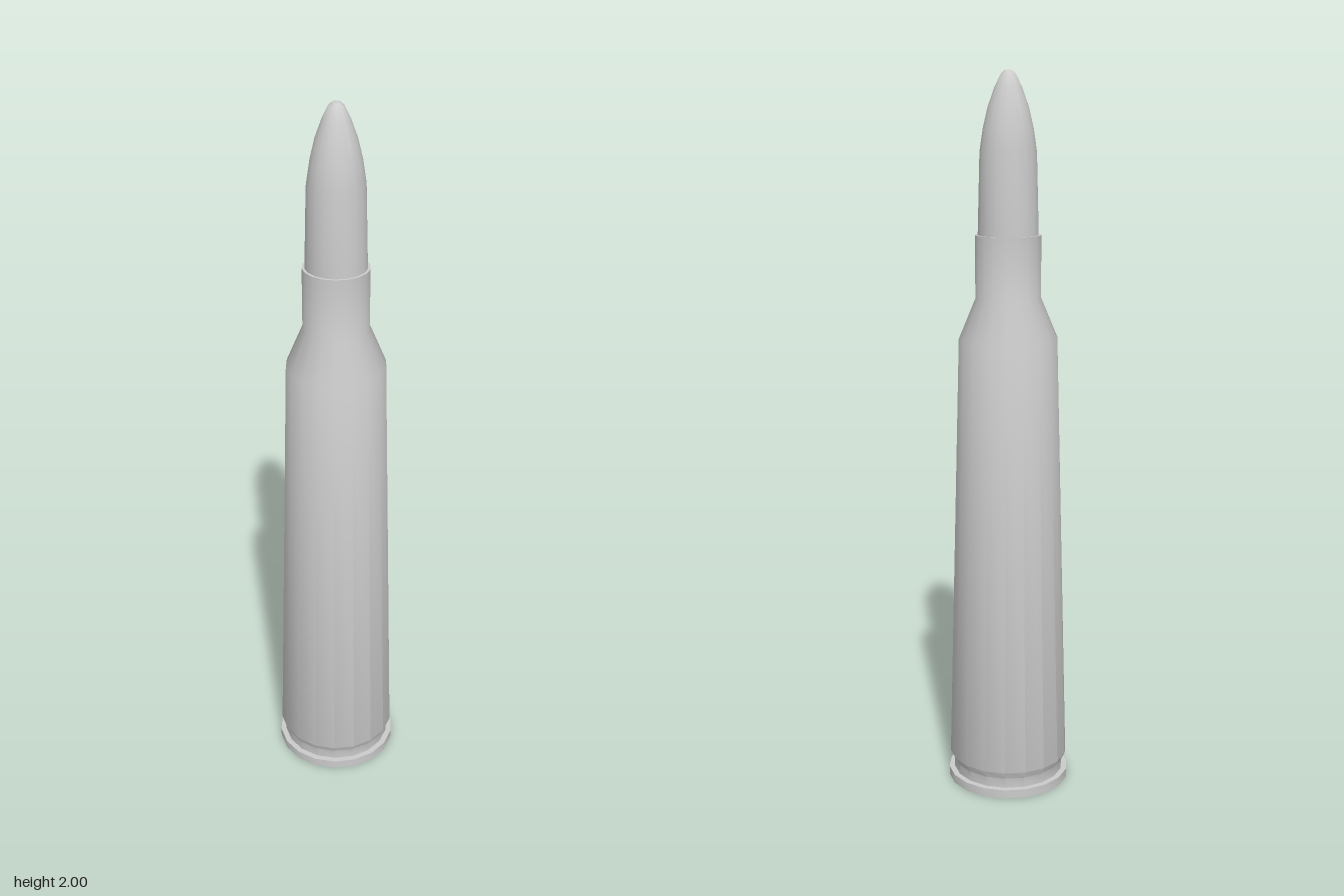
import * as THREE from 'three';
import { toCreasedNormals } from 'three/addons/utils/BufferGeometryUtils.js';

const SIDES = 18;
const material = new THREE.MeshStandardMaterial({ color: 0xcccccc });

// Revolve a [radius, height] profile, smooth except at sharp bends
function turned(name, profile) {
  const points = profile.map(([r, y]) => new THREE.Vector2(r, y));
  const lathe = new THREE.LatheGeometry(points, SIDES, Math.PI / 2);
  const mesh = new THREE.Mesh(toCreasedNormals(lathe, Math.PI / 6), material);
  mesh.name = name;
  return mesh;
}

export function createModel() {
  const group = new THREE.Group();
  group.name = 'cartridge';

  // Flat base and rim, up to the extractor groove
  group.add(turned('rim', [
    [0, 0], [0.173, 0], [0.173, 0.025], [0.157, 0.025],
  ]));

  // Groove, tapered body, shoulder, neck and lip
  group.add(turned('case', [
    [0.157, 0.025], [0.157, 0.053], [0.169, 0.075],
    [0.136, 1.29], [0.09, 1.4], [0.09, 1.57], [0.08, 1.57],
  ]));

  // Pointed tip seated in the neck
  group.add(turned('tip', [
    [0.083, 1.56], [0.077, 1.79], [0.068, 1.85], [0.055, 1.905],
    [0.037, 1.955], [0.02, 1.99], [0.011, 1.998], [0, 2],
  ]));

  return group;
}
